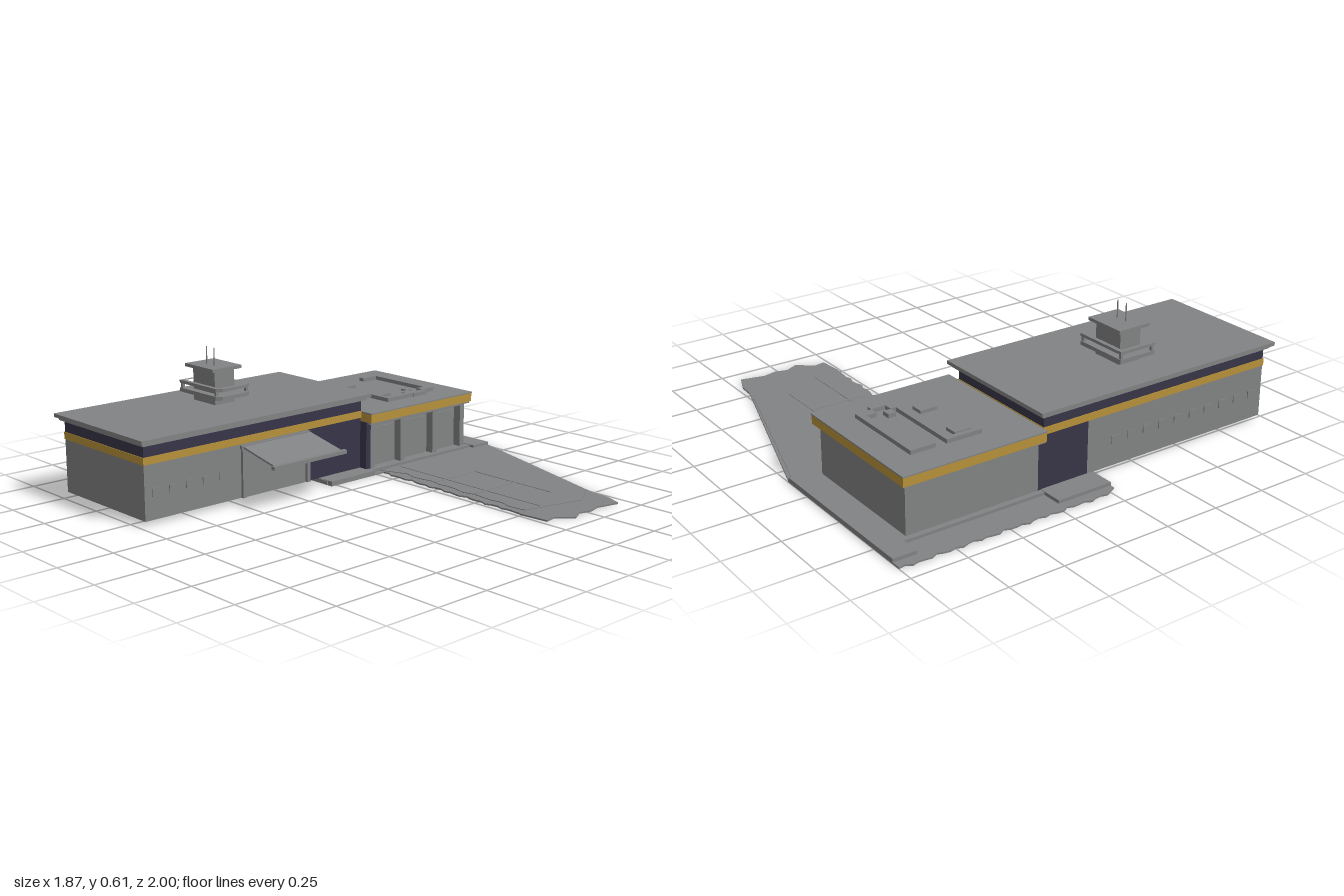
import * as THREE from 'three';

const mat = (name, color) => {
  const m = new THREE.MeshStandardMaterial({ color });
  m.name = name;
  return m;
};

export function createModel() {
  const model = new THREE.Group();
  model.name = 'building';
  const grey = mat('concrete grey', 0x828384);
  const gold = mat('gold trim', 0xb8923a);
  const navy = mat('navy glazing', 0x383548);

  const group = (name) => {
    const g = new THREE.Group();
    g.name = name;
    model.add(g);
    return g;
  };
  // Box given by its limits on each axis
  const box = (parent, name, m, x0, x1, y0, y1, z0, z1) => {
    const mesh = new THREE.Mesh(new THREE.BoxGeometry(x1 - x0, y1 - y0, z1 - z0), m);
    mesh.position.set((x0 + x1) / 2, (y0 + y1) / 2, (z0 + z1) / 2);
    mesh.name = name;
    parent.add(mesh);
    return mesh;
  };
  // Flat plate from plan points [x, z], with optional hole
  const plate = (parent, name, m, pts, y0, y1, hole) => {
    const toV = (p) => new THREE.Vector2(p[0], -p[1]);
    const shape = new THREE.Shape(pts.map(toV));
    if (hole) shape.holes.push(new THREE.Path(hole.map(toV)));
    const geo = new THREE.ExtrudeGeometry(shape, { depth: y1 - y0, bevelEnabled: false });
    geo.rotateX(-Math.PI / 2);
    const mesh = new THREE.Mesh(geo, m);
    mesh.position.y = y0;
    mesh.name = name;
    parent.add(mesh);
  };
  // Ragged line between two plan points
  const ragged = (a, b, n, amp) => {
    const out = [];
    const len = Math.hypot(b[0] - a[0], b[1] - a[1]);
    const nx = (b[1] - a[1]) / len, nz = -(b[0] - a[0]) / len;
    for (let i = 0; i < n; i++) {
      const t = i / n, w = amp * (Math.sin(i * 2.3) + 0.5 * Math.sin(i * 1.1 + 1));
      out.push([a[0] + (b[0] - a[0]) * t + nx * w, a[1] + (b[1] - a[1]) * t + nz * w]);
    }
    return out;
  };

  // Ground: strip under the rear block and the tapering apron
  const ground = group('ground');
  plate(ground, 'groundSheet', grey, [
    [-0.1, -1], ...ragged([-0.925, -1], [-0.925, 0.0], 36, 0.007),
    [-0.9, 0.03], [-0.1, 0.03], [-0.1, -0.28],
    ...ragged([-0.1, -0.285], [0.7, -0.27], 26, 0.007),
    [0.76, -0.265], [0.88, -0.275], [0.87, -0.33], [0.93, -0.4], [0.9, -0.46],
    [0.915, -0.52], [0.9, -0.58], [0.925, -0.69], [0.84, -0.725], [0.76, -0.73],
  ], 0, 0.007);
  plate(ground, 'apronPaving', grey, [
    [-0.12, -0.99], [0.72, -0.735], [0.8, -0.6], [0.73, -0.31],
    ...ragged([0.7, -0.31], [-0.05, -0.335], 14, 0.008), [-0.12, -0.29],
  ], 0.006, 0.01);
  box(ground, 'rearPavement', grey, -0.88, -0.1, 0.004, 0.022, -1, -0.895);
  box(ground, 'blockFooting', grey, -0.79, -0.125, 0.004, 0.02, -0.9, 0.035);
  box(ground, 'entrancePavement', grey, -0.88, -0.1, 0.004, 0.022, -0.235, 0.03);
  for (const x of [0.19, 0.43]) box(ground, 'pavingJoint', grey, x - 0.003, x + 0.003, 0.008, 0.012, -0.59, -0.33);
  box(ground, 'pavingJoint', grey, 0.19, 0.64, 0.008, 0.012, -0.593, -0.587);
  box(ground, 'pavingJoint', grey, -0.1, 0.74, 0.008, 0.012, -0.403, -0.397);

  // Tall front block: walls, glazed link, trim and roof
  const front = group('frontBlock');
  box(front, 'wall', grey, -0.765, -0.185, 0.02, 0.258, 0.09, 0.97);
  box(front, 'leftWallEnd', grey, -0.765, -0.4, 0.02, 0.258, 0.0, 0.09);
  box(front, 'linkGlazing', navy, -0.4, -0.185, 0.02, 0.258, -0.225, 0.09);
  box(front, 'linkGlazingLeft', navy, -0.765, -0.4, 0.02, 0.258, -0.225, 0.0);
  box(front, 'goldBand', gold, -0.768, -0.182, 0.257, 0.289, -0.228, 0.973);
  box(front, 'clerestory', navy, -0.765, -0.185, 0.288, 0.342, -0.225, 0.97);
  box(front, 'soffit', grey, -0.785, -0.165, 0.34, 0.354, -0.245, 0.985);
  box(front, 'roof', grey, -0.8, -0.15, 0.353, 0.369, -0.26, 1);

  // Small windows on both long walls: sill frame and pane
  const windows = group('windows');
  const addWindow = (x, s, z) => {
    const a = x, b = x + s * 0.004;
    const x0 = Math.min(a, b), x1 = Math.max(a, b);
    box(windows, 'windowPane', grey, x0, x1, 0.12, 0.155, z - 0.021, z + 0.021);
  };
  for (let i = 0; i < 10; i++) {
    const z = 0.912 - i * 0.0855;
    if (i < 5) addWindow(-0.185, 1, z);
    addWindow(-0.765, -1, z);
  }

  // Side entrance with a sloping canopy
  const porch = group('porch');
  box(porch, 'doorPanel', grey, -0.187, -0.18, 0.02, 0.2, 0.12, 0.455);
  box(porch, 'doorHead', grey, -0.187, -0.172, 0.236, 0.252, 0.09, 0.475);
  for (const z of [0.1, 0.463]) box(porch, 'doorPost', grey, -0.187, -0.172, 0.02, 0.245, z - 0.009, z + 0.009);
  const canopy = box(porch, 'canopy', grey, -0.113, 0.113, -0.004, 0.004, 0.09, 0.467);
  canopy.position.set(-0.077, 0.223, 0.2785);
  canopy.rotation.z = -0.21;
  box(porch, 'canopyBeam', grey, 0.03, 0.05, 0.19, 0.206, 0.075, 0.482);

  // Lower rear block with recessed bays along the right side
  const rear = group('rearBlock');
  box(rear, 'wall', grey, -0.765, -0.185, 0.018, 0.24, -0.87, -0.25);
  box(rear, 'backWall', grey, -0.765, -0.145, 0.018, 0.24, -0.87, -0.85);
  box(rear, 'bayHead', grey, -0.19, -0.145, 0.222, 0.24, -0.87, -0.245);
  box(rear, 'frontGlazing', navy, -0.765, -0.145, 0.018, 0.24, -0.25, -0.222);
  for (const z of [-0.262, -0.455, -0.668, -0.856])
    box(rear, 'bayPillar', grey, -0.19, -0.145, 0.018, 0.235, z - 0.014, z + 0.014);
  for (const z of [-0.358, -0.561, -0.762])
    box(rear, 'bayDoor', grey, -0.187, -0.178, 0.02, 0.2, z - 0.07, z + 0.07);
  box(rear, 'soffit', grey, -0.785, -0.125, 0.232, 0.241, -0.885, -0.23);
  box(rear, 'goldFascia', gold, -0.792, -0.12, 0.24, 0.281, -0.893, -0.23);
  box(rear, 'roof', grey, -0.795, -0.117, 0.28, 0.286, -0.896, -0.228);

  // Roof ducts on the rear block, each as [x0, x1, z0, z1]
  const ducts = group('roofDucts');
  const bars = [
    [-0.66, -0.26, -0.775, -0.745], [-0.66, -0.63, -0.745, -0.66], [-0.3, -0.26, -0.745, -0.7],
    [-0.26, -0.23, -0.7, -0.61], [-0.34, -0.3, -0.67, -0.635], [-0.3, -0.26, -0.635, -0.61],
  ];
  for (const [x0, x1, z0, z1] of bars) box(ducts, 'duct', grey, x0, x1, 0.284, 0.304, z0, z1);
  const rect = (x0, x1, z0, z1) => [[x0, z0], [x1, z0], [x1, z1], [x0, z1]];
  plate(ducts, 'ductFrame', grey, rect(-0.66, -0.235, -0.61, -0.445), 0.284, 0.304, rect(-0.635, -0.26, -0.585, -0.465));
  for (const x of [-0.59, -0.35]) box(ducts, 'ductUnit', grey, x - 0.03, x + 0.03, 0.284, 0.3, -0.545, -0.465);

  // Rooftop tower with balcony, cap and antennas
  const tower = group('tower');
  const deck = [[-0.66, 0.25], [-0.4, 0.25], [-0.38, 0.28], [-0.38, 0.41], [-0.4, 0.435], [-0.66, 0.435]];
  const inner = rect(-0.64, -0.405, 0.27, 0.415);
  box(tower, 'shaft', grey, -0.605, -0.45, 0.365, 0.525, 0.292, 0.4);
  plate(tower, 'balconyDeck', grey, deck, 0.403, 0.42);
  plate(tower, 'balconyRail', grey, deck, 0.442, 0.455, inner);
  for (const x of [-0.65, -0.408])
    for (const z of [0.26, 0.425]) box(tower, 'railPost', grey, x - 0.006, x + 0.006, 0.418, 0.445, z - 0.006, z + 0.006);
  box(tower, 'cap', grey, -0.63, -0.43, 0.52, 0.534, 0.265, 0.425);
  for (const x of [-0.557, -0.503]) {
    const rod = new THREE.Mesh(new THREE.CylinderGeometry(0.003, 0.003, 0.08, 6), grey);
    rod.position.set(x, 0.572, 0.36);
    rod.name = 'antenna';
    tower.add(rod);
  }
  return model;
}
